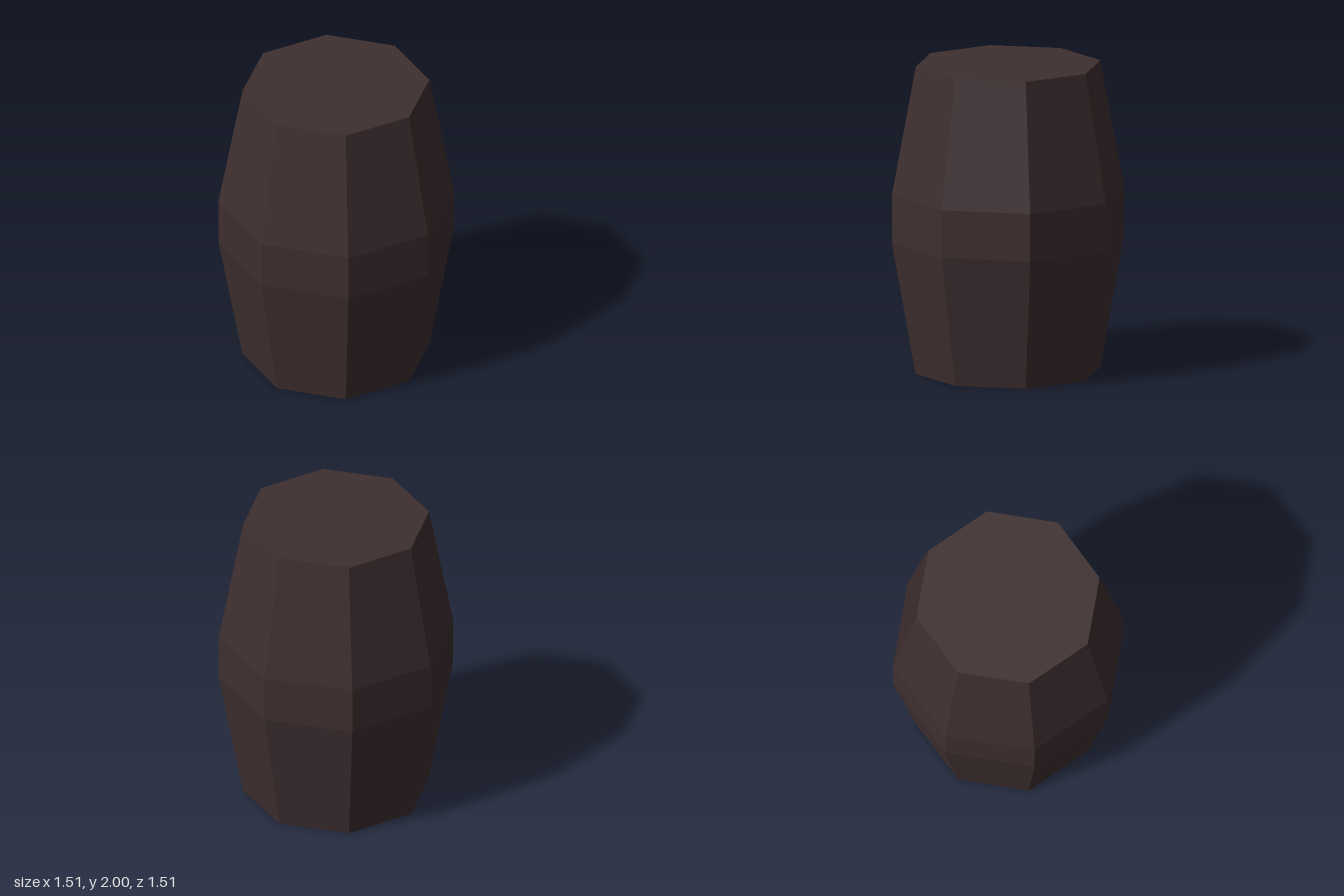
import * as THREE from 'three';

export function createModel() {
  const model = new THREE.Group();
  model.name = 'barrel';

  const darkWood = new THREE.MeshStandardMaterial({ color: 0x3f2f30, flatShading: true });
  darkWood.name = 'darkWood';

  // Eight-sided barrel: [radius, height] from the base centre up to the lid centre
  const profile = [
    [0, 0], [0.6, 0], [0.755, 0.86], [0.755, 1.17], [0.6, 2], [0, 2],
  ].map(([r, y]) => new THREE.Vector2(r, y));

  const body = new THREE.Mesh(new THREE.LatheGeometry(profile, 8), darkWood);
  body.name = 'barrelBody';
  model.add(body);

  return model;
}
